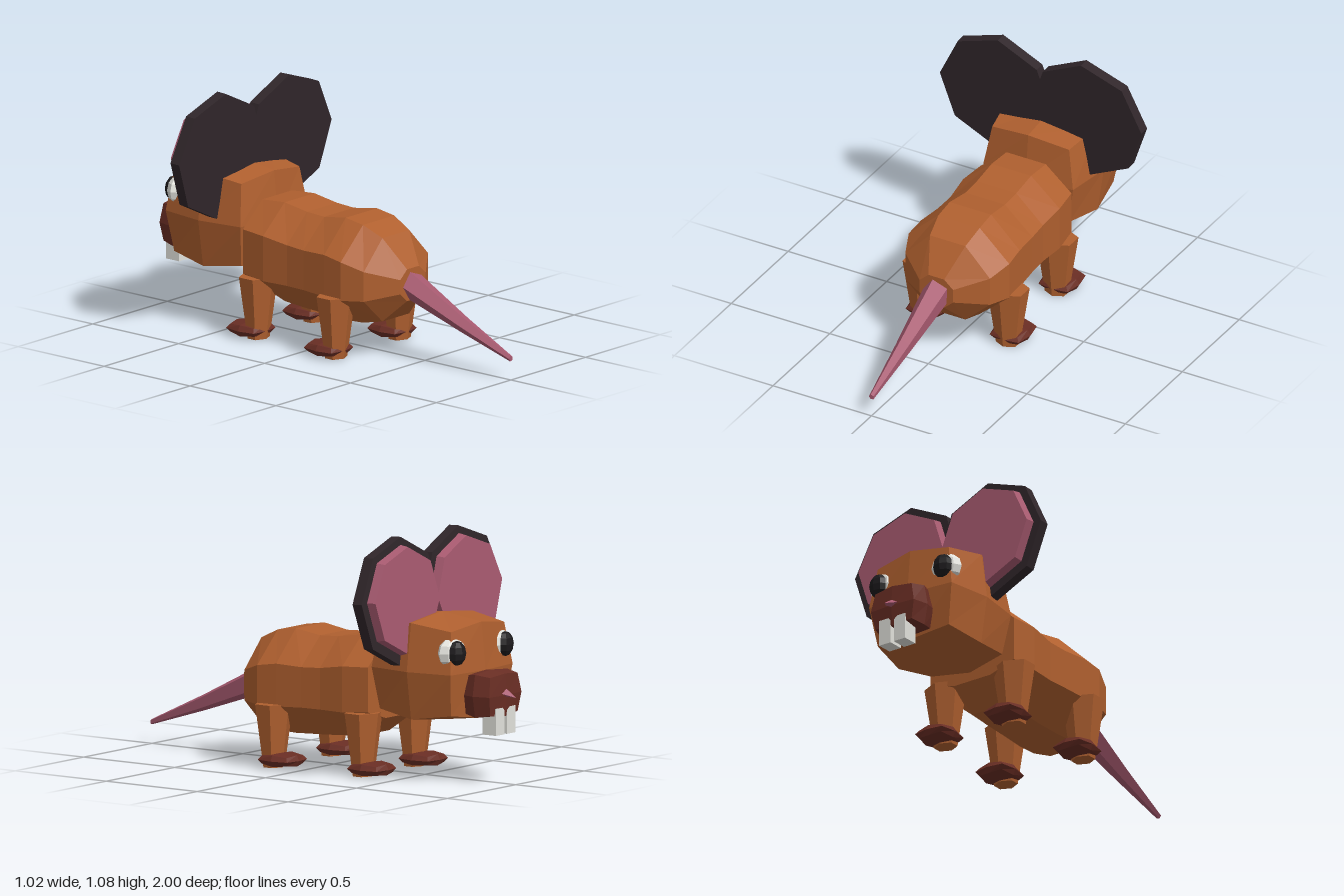
import * as THREE from 'three';

const mat = (color) => new THREE.MeshStandardMaterial({ color, flatShading: true });
const FUR = mat(0xb0602f), BROWN = mat(0x6a2e24), DARK = mat(0x30262a);
const PINK = mat(0xa85a70), WHITE = mat(0xe2e2dc), BLACK = mat(0x1c1a1c);

function add(parent, name, geometry, material, x = 0, y = 0, z = 0) {
  const mesh = new THREE.Mesh(geometry, material);
  mesh.name = name;
  mesh.position.set(x, y, z);
  parent.add(mesh);
  return mesh;
}

// Skin over closed rings (counter-clockwise seen from +z, ordered by rising z) with end caps
function loft(rings) {
  const n = rings[0].length, index = [];
  for (let r = 0; r < rings.length - 1; r++) {
    for (let i = 0; i < n; i++) {
      const j = (i + 1) % n, a = r * n, b = a + n;
      index.push(a + i, a + j, b + j, a + i, b + j, b + i);
    }
  }
  const last = (rings.length - 1) * n;
  for (let i = 1; i < n - 1; i++) index.push(0, i + 1, i, last, last + i, last + i + 1);
  const g = new THREE.BufferGeometry();
  g.setAttribute('position', new THREE.Float32BufferAttribute(rings.flat(2), 3));
  g.setIndex(index);
  return finish(g);
}

function finish(g) {
  const flat = g.index ? g.toNonIndexed() : g;
  flat.computeVertexNormals();
  return flat;
}

// Box cut in two along each axis, its edge and face midpoints pushed outward
function bulgedBox(corner, bulge) {
  const g = new THREE.BoxGeometry(2, 2, 2, 2, 2, 2);
  const p = g.attributes.position;
  for (let v = 0; v < p.count; v++) {
    const s = [p.getX(v), p.getY(v), p.getZ(v)].map(Math.round);
    const zeros = s.filter((c) => c === 0).length;
    const out = s.map((c, a) => c * (corner[a] + bulge[a] * zeros));
    p.setXYZ(v, ...out);
  }
  return finish(g);
}

function makeBody() {
  // z, half width, half width of the flat, bottom, lower side, upper side, top
  const sections = [
    [-0.36, 0.23, 0.10, 0.25, 0.29, 0.49, 0.60],
    [-0.23, 0.245, 0.10, 0.16, 0.28, 0.485, 0.61],
    [-0.10, 0.235, 0.10, 0.15, 0.28, 0.465, 0.59],
    [0.00, 0.24, 0.10, 0.145, 0.28, 0.46, 0.585],
    [0.13, 0.25, 0.105, 0.14, 0.275, 0.465, 0.605],
    [0.23, 0.255, 0.105, 0.145, 0.275, 0.45, 0.59],
    [0.33, 0.215, 0.09, 0.165, 0.28, 0.415, 0.545],
    [0.43, 0.085, 0.04, 0.265, 0.305, 0.37, 0.41],
  ];
  return loft(sections.map(([z, w, f, b, lo, up, t]) => [
    [-f, b, z], [f, b, z], [w, lo, z], [w, up, z],
    [f, t, z], [-f, t, z], [-w, up, z], [-w, lo, z],
  ]));
}

function makeTail() {
  // z, centre height, radius
  const sections = [[0.41, 0.338, 0.068], [0.72, 0.207, 0.038], [1.0, 0.097, 0.013]];
  return loft(sections.map(([z, y, r]) => Array.from({ length: 5 }, (_, i) => {
    const a = 1.85 + (i / 5) * Math.PI * 2;
    return [Math.cos(a) * r, y + Math.sin(a) * r, z];
  })));
}

export function createModel() {
  const model = new THREE.Group();
  model.name = 'mouse';

  add(model, 'body', makeBody(), FUR);
  add(model, 'tail', makeTail(), PINK);

  // Head and muzzle
  add(model, 'head', bulgedBox([0.195, 0.187, 0.195], [0.032, 0.027, 0.022]), FUR, 0, 0.495, -0.595);
  add(model, 'muzzle', bulgedBox([0.1, 0.085, 0.07], [0.018, 0.01, 0.008]), BROWN, 0, 0.395, -0.865);
  const nose = add(model, 'nose', new THREE.ConeGeometry(0.045, 0.08, 4), PINK, 0, 0.398, -0.963);
  nose.rotation.x = -Math.PI / 2 - 0.3;
  nose.scale.z = 0.55;

  for (const side of [1, -1]) {
    const label = side > 0 ? 'left' : 'right';

    // Ear: dark disc with a smaller pink disc on its face
    const ear = new THREE.Group();
    ear.name = label + 'Ear';
    ear.position.set(side * 0.228, 0.8, -0.513);
    ear.rotation.x = 0.044;
    model.add(ear);
    const disc = (top, bottom, depth) => new THREE.CylinderGeometry(top, bottom, depth, 8)
      .rotateY(Math.PI / 2).rotateX(Math.PI / 2).rotateZ(side * 0.06);
    add(ear, 'outerEar', disc(0.284, 0.284, 0.05), DARK);
    add(ear, 'innerEar', disc(0.246, 0.236, 0.05), PINK, 0, 0.005, -0.04);

    // Eye, turned slightly outward
    const eye = new THREE.Group();
    eye.name = label + 'Eye';
    eye.position.set(side * 0.172, 0.588, -0.778);
    eye.rotation.y = -side * 0.15;
    model.add(eye);
    add(eye, 'eyeball', new THREE.SphereGeometry(1, 8, 6), WHITE).scale.set(0.078, 0.068, 0.045);
    add(eye, 'pupil', new THREE.SphereGeometry(1, 8, 6), BLACK, 0, 0, -0.031).scale.set(0.048, 0.056, 0.036);

    // Front tooth
    add(model, label + 'Tooth', new THREE.BoxGeometry(0.062, 0.12, 0.075), WHITE, side * 0.04, 0.28, -0.907);

    // Legs taper down into flat paws that reach forward
    for (const [end, x, z] of [['Front', 0.188, -0.305], ['Rear', 0.213, 0.168]]) {
      const leg = new THREE.Group();
      leg.name = label + end + 'Leg';
      leg.position.set(side * x, 0, z);
      model.add(leg);
      add(leg, 'shin', new THREE.CylinderGeometry(0.08, 0.045, 0.283, 6), FUR, 0, 0.1415).scale.x = 1.25;
      add(leg, 'paw', bulgedBox([0.06, 0.018, 0.068], [0.014, 0.007, 0.012]), BROWN, 0, 0.036, -0.045);
    }
  }
  return model;
}
